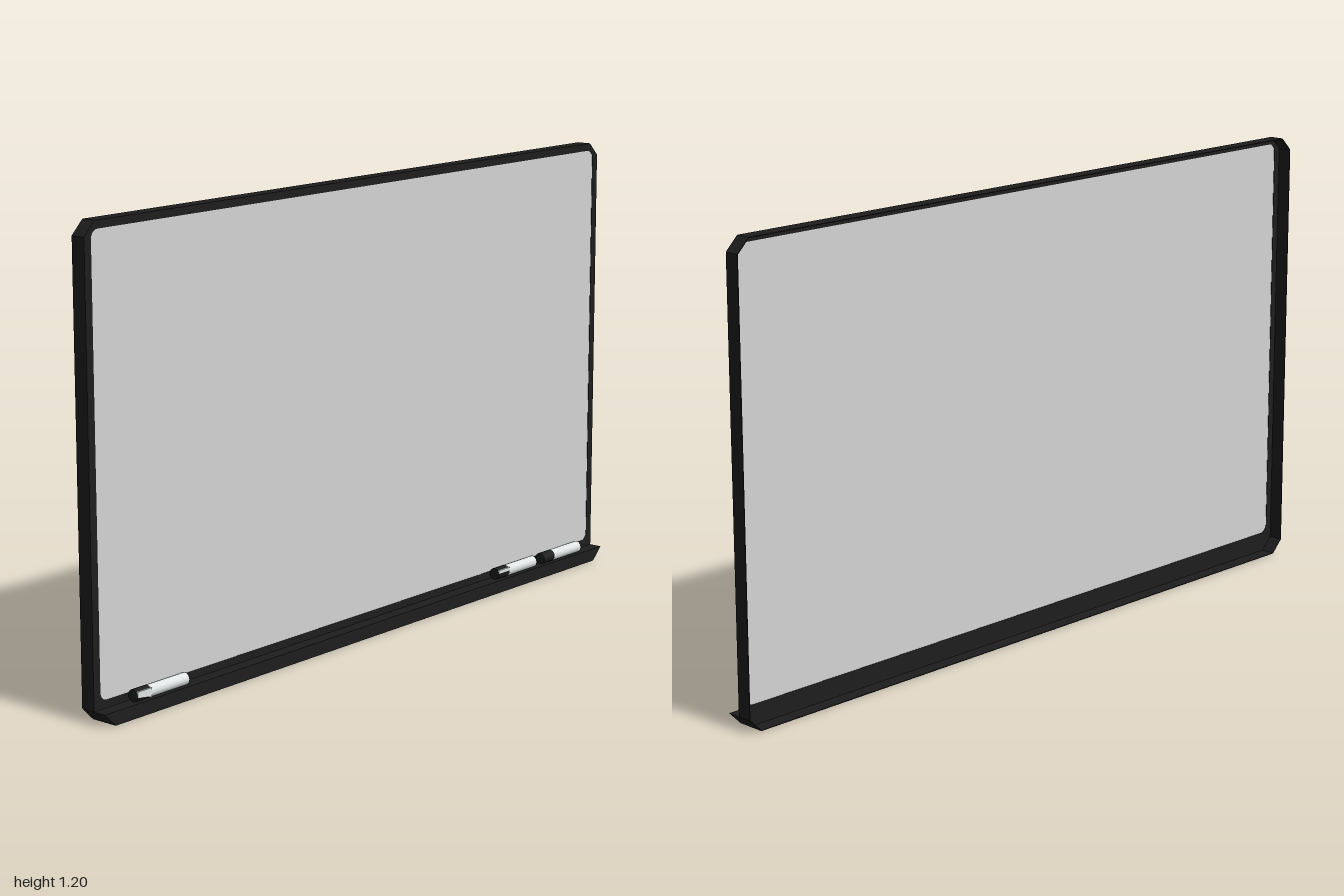
import * as THREE from 'three';

const frameMat = new THREE.MeshStandardMaterial({ color: 0x1d1d1d });
frameMat.name = 'black frame';
const panelMat = new THREE.MeshStandardMaterial({ color: 0xd4d4d4, side: THREE.DoubleSide });
panelMat.name = 'pale grey panel';
const penMat = new THREE.MeshStandardMaterial({ color: 0xe0e4e4 });
penMat.name = 'white pen';

const BACK = -0.038, FACE = 0.002, FRONT = 0.038, WALL = 0.002;

function add(parent, name, geometry, material) {
  const mesh = new THREE.Mesh(geometry, material);
  mesh.name = name;
  parent.add(mesh);
  return mesh;
}

const points = list => list.map(p => new THREE.Vector2(...p));

// Rectangle with its four corners cut off at 45 degrees
function cutRect(x, y0, y1, c) {
  return points([[-x + c, y0], [x - c, y0], [x, y0 + c], [x, y1 - c],
    [x - c, y1], [-x + c, y1], [-x, y1 - c], [-x, y0 + c]]);
}

// Rectangle with rounded corners
function roundRect(x, y0, y1, r) {
  return new THREE.Path()
    .absarc(x - r, y0 + r, r, -Math.PI / 2, 0)
    .absarc(x - r, y1 - r, r, 0, Math.PI / 2)
    .absarc(-x + r, y1 - r, r, Math.PI / 2, Math.PI)
    .absarc(-x + r, y0 + r, r, Math.PI, Math.PI * 1.5)
    .getPoints(6);
}

function slab(outline, hole, z0, z1) {
  const shape = new THREE.Shape(outline);
  if (hole) shape.holes.push(new THREE.Path(hole));
  return new THREE.ExtrudeGeometry(shape, { depth: z1 - z0, bevelEnabled: false }).translate(0, 0, z0);
}

// Marker lying along x, cap towards -x; patch is an optional white area on the cap's front
function marker(name, x0, x1, patch) {
  const pen = new THREE.Group();
  pen.name = name;
  const r = 0.016, cap = 0.048, plug = 0.003;
  const piece = (label, a, b, mat) => {
    const geo = new THREE.CylinderGeometry(r, r, b - a, 12).rotateZ(Math.PI / 2);
    add(pen, label, geo, mat).position.x = (a + b) / 2;
  };
  piece('markerCap', x0, x0 + cap, frameMat);
  piece('markerBody', x0 + cap, x1 - plug, penMat);
  piece('markerEnd', x1 - plug, x1, frameMat);
  if (patch) {
    const outline = points(patch.map(([u, y]) => [x0 + u * cap, y]));
    add(pen, 'capPatch', slab(outline, null, 0.012, r + 0.0005), penMat);
  }
  pen.position.set(0, 0.052, 0.022);
  return pen;
}

export function createModel() {
  const board = new THREE.Group();
  board.name = 'writingBoard';

  // Open-backed frame: thin outer wall and a lip around the front
  const outer = cutRect(1, 0, 1.2, 0.035);
  const inner = cutRect(1 - WALL, WALL, 1.2 - WALL, 0.035 - WALL / 2);
  const opening = roundRect(0.978, 0.055, 1.18, 0.022);
  add(board, 'frameWall', slab(outer, inner, BACK, FACE - WALL), frameMat);
  add(board, 'frameLip', slab(outer, opening, FACE - WALL, FACE), frameMat);

  // Thin panel level with the lip, visible from both sides
  const panel = new THREE.ShapeGeometry(new THREE.Shape(opening)).translate(0, 0, FACE - WALL / 2);
  add(board, 'panel', panel, panelMat);

  // Pen tray along the bottom
  const tray = points([[-0.965, 0], [0.965, 0], [1, 0.035], [-1, 0.035]]);
  add(board, 'tray', slab(tray, null, FACE, FRONT), frameMat);

  // Markers resting on the tray
  board.add(marker('leftmostMarker', -0.89, -0.71, [[0, -0.002], [1, -0.011], [1, 0.012], [0, 0.012]]));
  board.add(marker('middleMarker', 0.52, 0.695, [[0, 0.003], [1, 0.003], [1, 0.012], [0, 0.012]]));
  board.add(marker('rightmostMarker', 0.73, 0.905));
  return board;
}
